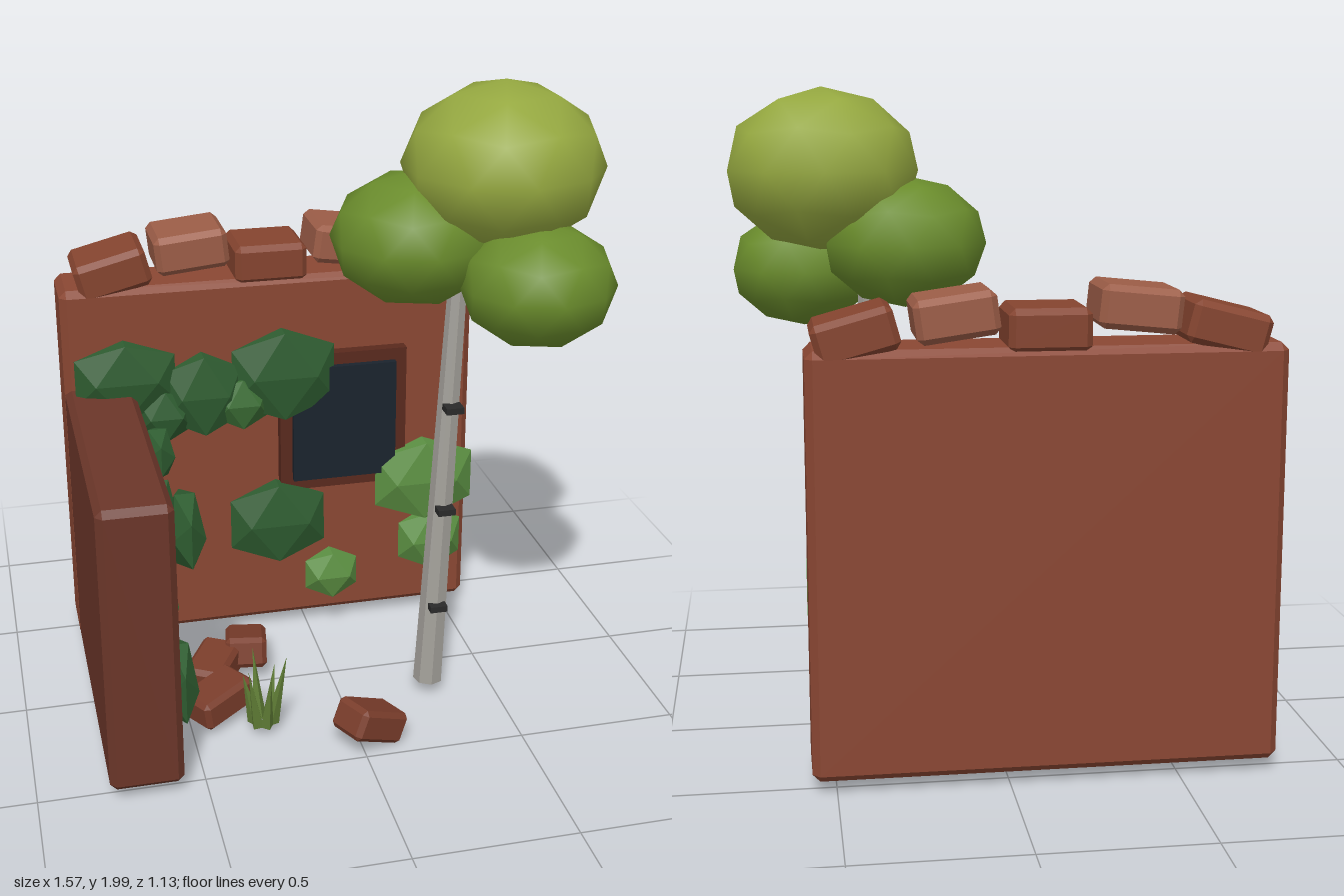
import * as THREE from 'three';
import { ConvexGeometry } from 'three/addons/geometries/ConvexGeometry.js';

const mat = (color, flat = true) => new THREE.MeshStandardMaterial({ color, flatShading: flat });
const M = {
  wall: mat(0x8a4733), sideWall: mat(0x6b3629), brick: mat(0x85442f), paleBrick: mat(0x9c5d47),
  rubble: mat(0x7a3d2b), frame: mat(0x59291d), pane: mat(0x1a232d),
  bark: mat(0xa3a09a), mark: mat(0x2a2a2a),
  crown: mat(0x95a840, false), lowCrown: mat(0x6a8c2c, false),
  darkLeaf: mat(0x2e5c30), midLeaf: mat(0x3c6f36), paleLeaf: mat(0x5b8f42),
  grass: mat(0x5f7c35),
};

// Box with chamfered edges
function chamferBox(w, h, d, c) {
  const pts = [];
  for (const x of [-1, 1]) for (const y of [-1, 1]) for (const z of [-1, 1]) {
    for (let axis = 0; axis < 3; axis++) {
      const inset = [0, 1, 2].map(i => (i === axis ? 0 : c));
      pts.push(new THREE.Vector3(
        x * (w / 2 - inset[0]), y * (h / 2 - inset[1]), z * (d / 2 - inset[2])));
    }
  }
  return new ConvexGeometry(pts);
}

function add(parent, name, geometry, material, x, y, z) {
  const mesh = new THREE.Mesh(geometry, material);
  mesh.name = name;
  mesh.position.set(x, y, z);
  parent.add(mesh);
  return mesh;
}

function subGroup(parent, name) {
  const g = new THREE.Group();
  g.name = name;
  parent.add(g);
  return g;
}

export function createModel() {
  const model = new THREE.Group();
  model.name = 'ruinedCorner';

  // Walls
  add(model, 'backWall', chamferBox(1.36, 1.24, 0.23, 0.022), M.wall, -0.11, 0.67, -0.455);
  add(model, 'sideWall', chamferBox(0.22, 0.91, 0.97, 0.02), M.sideWall, -0.679, 0.505, 0.08);

  // Broken course of bricks on the back wall: x, y, roll
  const course = subGroup(model, 'topBricks');
  const brick = chamferBox(0.235, 0.125, 0.23, 0.018);
  [[-0.617, 1.33, 0.25], [-0.364, 1.39, 0.1], [-0.108, 1.335, 0],
    [0.152, 1.375, -0.14], [0.43, 1.325, -0.27]].forEach(([x, y, roll], i) => {
    add(course, 'topBrick', brick, i % 2 ? M.paleBrick : M.brick, x, y, -0.455).rotation.z = roll;
  });

  // Window
  const win = subGroup(model, 'window');
  add(win, 'windowFrame', new THREE.BoxGeometry(0.43, 0.48, 0.06), M.frame, 0.12, 0.79, -0.33);
  add(win, 'windowPane', new THREE.BoxGeometry(0.35, 0.4, 0.06), M.pane, 0.12, 0.79, -0.308);

  // Fallen bricks: x, y, z, heading, tilt
  const rubble = subGroup(model, 'fallenBricks');
  const fallen = chamferBox(0.2, 0.1, 0.135, 0.015);
  [[-0.265, 0.095, -0.09, 1.4, -0.27], [-0.39, 0.09, 0.01, 1.03, 0.1],
    [-0.405, 0.085, 0.18, 0.55, 0.15], [0.027, 0.095, 0.43, 0.46, -0.44]].forEach(([x, y, z, heading, tilt]) => {
    add(rubble, 'fallenBrick', fallen, M.rubble, x, y, z).rotation.set(0, heading, tilt, 'YXZ');
  });

  // Leaning trunk with bark marks
  const tree = subGroup(model, 'tree');
  const base = new THREE.Vector3(0.29, 0.05, 0.17);
  const tip = new THREE.Vector3(0.362, 1.5, 0.152);
  const trunk = add(tree, 'trunk', new THREE.CylinderGeometry(0.028, 0.047, base.distanceTo(tip), 7), M.bark, 0, 0, 0);
  trunk.position.lerpVectors(base, tip, 0.5);
  trunk.quaternion.setFromUnitVectors(new THREE.Vector3(0, 1, 0), tip.clone().sub(base).normalize());
  for (const y of [0.335, 0.675, 1.015]) {
    const p = new THREE.Vector3().lerpVectors(base, tip, (y - 0.05) / 1.45);
    add(tree, 'barkMark', new THREE.BoxGeometry(0.055, 0.02, 0.05), M.mark, p.x, y, 0.206);
  }

  // Crown: low-poly balls with a vertex straight up
  const ball = new THREE.IcosahedronGeometry(1, 1).rotateZ(Math.atan(2 / (1 + Math.sqrt(5))));
  [[0.488, 1.75, 0.142, 0.302, 0.25, M.crown],
    [0.547, 1.435, 0.315, 0.232, 0.187, M.lowCrown],
    [0.24, 1.53, 0.085, 0.255, 0.202, M.lowCrown]].forEach(([x, y, z, r, ry, m]) => {
    add(tree, 'crownBall', ball, m, x, y, z).scale.set(r, ry, r);
  });

  // Ivy: flattened icosahedra, extents scaled to 1
  const leaf = new THREE.IcosahedronGeometry(1 / 0.8507, 0).rotateZ(Math.PI / 2);
  const ivy = subGroup(model, 'ivy');
  // On the back wall: x, y, half width, half height
  [[-0.6, 1.0, 0.16, 0.125, M.darkLeaf], [-0.35, 0.93, 0.125, 0.135, M.darkLeaf],
    [-0.085, 0.975, 0.17, 0.15, M.darkLeaf], [-0.225, 0.89, 0.085, 0.085, M.midLeaf],
    [-0.478, 0.87, 0.085, 0.085, M.darkLeaf], [-0.11, 0.445, 0.16, 0.14, M.darkLeaf],
    [0.4, 0.55, 0.17, 0.14, M.paleLeaf], [0.425, 0.32, 0.11, 0.105, M.paleLeaf],
    [0.075, 0.225, 0.09, 0.083, M.paleLeaf]].forEach(([x, y, w, h, m]) => {
    add(ivy, 'backWallLeaf', leaf, m, x, y, -0.292).scale.set(w, h, 0.05);
  });
  // On the side wall: z, y, half width, half height
  [[0.39, 0.8, 0.125, 0.11, M.darkLeaf], [-0.19, 0.785, 0.085, 0.08, M.darkLeaf],
    [-0.2, 0.58, 0.085, 0.1, M.darkLeaf], [-0.25, 0.21, 0.09, 0.14, M.midLeaf],
    [0.14, 0.14, 0.13, 0.13, M.darkLeaf]].forEach(([z, y, w, h, m]) => {
    const l = add(ivy, 'sideWallLeaf', leaf, m, -0.518, y, z);
    l.rotation.y = Math.PI / 2;
    l.scale.set(w, h, 0.048);
  });

  // Grass tuft: blades leaning outwards
  const tuft = subGroup(model, 'grassTuft');
  tuft.position.set(-0.28, 0.04, 0.28);
  const heights = [0.24, 0.19, 0.22, 0.17, 0.23, 0.18];
  heights.forEach((h, i) => {
    const blade = new THREE.ConeGeometry(0.022, h, 4).translate(0, h / 2, 0);
    const a = (i / heights.length) * Math.PI * 2 + 0.3;
    add(tuft, 'grassBlade', blade, M.grass, Math.cos(a) * 0.028, 0, Math.sin(a) * 0.028)
      .rotation.set(0, -a, -0.2, 'YXZ');
  });

  return model;
}
